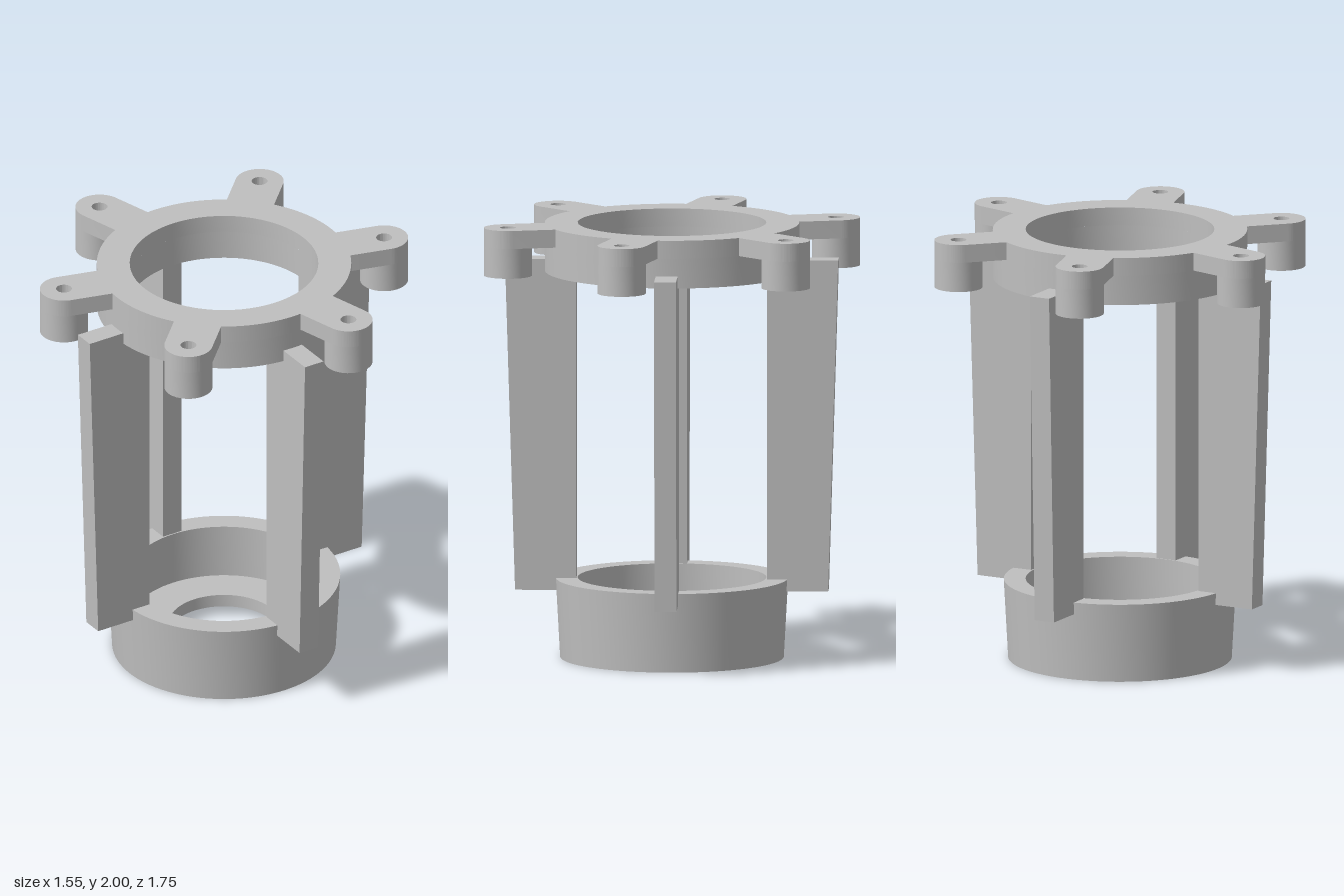
import * as THREE from 'three';
import { toCreasedNormals } from 'three/addons/utils/BufferGeometryUtils.js';

const grey = new THREE.MeshStandardMaterial({ color: 0xbfbfbf });
grey.name = 'grey';

const RING_OUTER = 0.58, RING_INNER = 0.43;
const ARM_HALF = 0.11, BOLT_RADIUS = 0.766, BOLT_HOLE = 0.036;

function part(name, geometry) {
  const mesh = new THREE.Mesh(toCreasedNormals(geometry, 0.5), grey);
  mesh.name = name;
  return mesh;
}

function lathe(name, points, segments) {
  return part(name, new THREE.LatheGeometry(points.map(([r, y]) => new THREE.Vector2(r, y)), segments));
}

function hole(x, y, r) {
  return new THREE.Path().absarc(x, y, r, 0, Math.PI * 2, true);
}

// Horizontal plate standing between two heights
function plate(name, shape, bottom, top, curveSegments) {
  const g = new THREE.ExtrudeGeometry(shape, { depth: top - bottom, bevelEnabled: false, curveSegments });
  g.rotateX(-Math.PI / 2).translate(0, bottom, 0);
  return part(name, g);
}

export function createModel() {
  const model = new THREE.Group();
  model.name = 'ribbedBracket';

  // Top flange: ring with six rounded arms
  const flange = new THREE.Shape();
  const arms = [0, 1, 2, 3, 4, 5].map(i => Math.PI / 6 + i * Math.PI / 3);
  const root = Math.asin(ARM_HALF / RING_OUTER);
  for (const a of arms) {
    const x = BOLT_RADIUS * Math.cos(a), y = BOLT_RADIUS * Math.sin(a);
    flange.absarc(0, 0, RING_OUTER, a - Math.PI / 3 + root, a - root, false);
    flange.absarc(x, y, ARM_HALF, a - Math.PI / 2, a + Math.PI / 2, false);
    flange.holes.push(hole(x, y, BOLT_HOLE));
  }
  flange.holes.push(hole(0, 0, RING_INNER));
  model.add(plate('topFlange', flange, 1.917, 2, 32));

  // Ring wall below the flange
  model.add(lathe('topRing', [
    [RING_INNER, 1.917], [RING_INNER, 1.78], [RING_OUTER, 1.78], [RING_OUTER, 1.917],
  ], 96));

  // Bolt bosses with blind holes
  for (const a of arms) {
    const boss = lathe('boltBoss', [
      [0, 1.78], [ARM_HALF, 1.78], [ARM_HALF, 1.917],
      [BOLT_HOLE, 1.917], [BOLT_HOLE, 1.82], [0, 1.82],
    ], 40);
    boss.position.set(BOLT_RADIUS * Math.cos(a), 0, -BOLT_RADIUS * Math.sin(a));
    model.add(boss);
  }

  // Four diagonal ribs, wider at the top
  const profile = new THREE.Shape([
    [0.435, 0.31], [0.714, 0.31], [0.76, 1.835], [0.435, 1.835],
  ].map(([r, y]) => new THREE.Vector2(r, y)));
  for (let i = 0; i < 4; i++) {
    const g = new THREE.ExtrudeGeometry(profile, { depth: 0.1, bevelEnabled: false });
    g.translate(0, 0, -0.05);
    const rib = part('rib', g);
    rib.rotation.y = Math.PI / 4 + i * Math.PI / 2;
    model.add(rib);
  }

  // Tapered base cup with a recess underneath
  model.add(lathe('baseCup', [
    [0.36, 0.05], [0.36, 0], [0.51, 0], [0.53, 0.365], [RING_INNER, 0.365], [RING_INNER, 0.11],
  ], 96));

  // Cup floor with the centre opening and a small side hole
  const floor = new THREE.Shape().absarc(0, 0, RING_INNER + 0.005, 0, Math.PI * 2, false);
  floor.holes.push(hole(0, 0, 0.25), hole(0.305, 0, 0.03));
  model.add(plate('baseFloor', floor, 0.05, 0.11, 40));

  return model;
}
